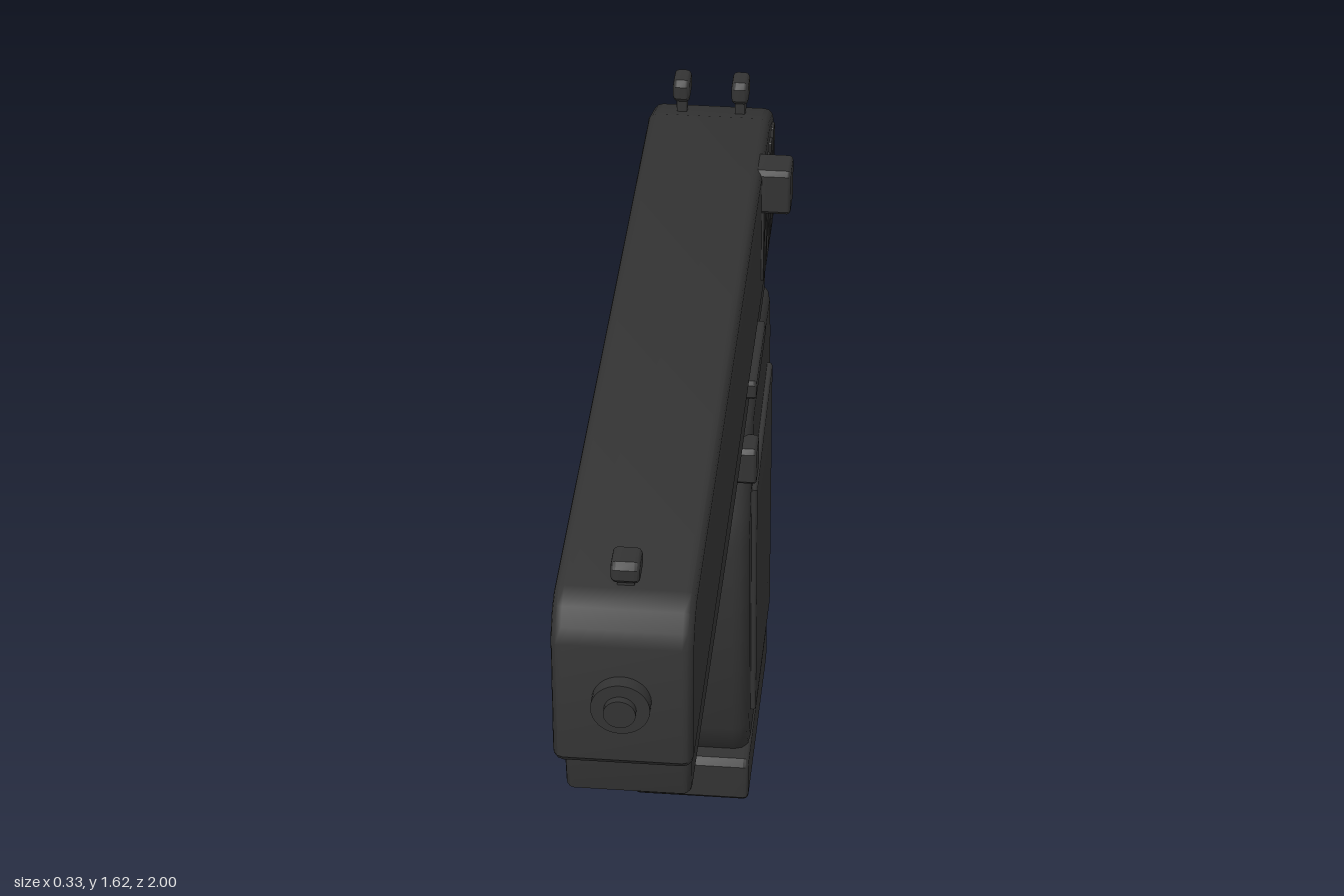
import * as THREE from 'three';
import { toCreasedNormals } from 'three/addons/utils/BufferGeometryUtils.js';

const CX = -0.026; // centre plane of the body

export function createModel() {
  const group = new THREE.Group();
  const gunmetal = new THREE.MeshStandardMaterial({ color: 0x333333 });
  gunmetal.name = 'gunmetal';

  function add(name, geometry) {
    const mesh = new THREE.Mesh(geometry, gunmetal);
    mesh.name = name;
    group.add(mesh);
    return mesh;
  }

  // Side outline in [z, y], extruded between x0 and x1 with rounded edges
  function slab(name, outline, x0, x1, bevel) {
    const shape = new THREE.Shape(outline.map(([z, y]) => new THREE.Vector2(z, y)));
    const geo = new THREE.ExtrudeGeometry(shape, {
      depth: x1 - x0 - 2 * bevel, bevelEnabled: true, bevelThickness: bevel,
      bevelSize: bevel, bevelOffset: -bevel, bevelSegments: 3,
    });
    geo.translate(0, 0, bevel);
    geo.rotateY(-Math.PI / 2);
    geo.translate(x1, 0, 0);
    return add(name, toCreasedNormals(geo, 0.6));
  }

  // Box with small corner cuts, given by its limits
  function block(name, x0, x1, y0, y1, z0, z1, cut = 0.01) {
    const outline = [
      [z0 + cut, y0], [z1 - cut, y0], [z1, y0 + cut], [z1, y1 - cut],
      [z1 - cut, y1], [z0 + cut, y1], [z0, y1 - cut], [z0, y0 + cut],
    ];
    return slab(name, outline, x0, x1, cut * 0.8);
  }

  // Slide with sloped top corners
  slab('slide', [
    [-0.97, 1.205], [0.945, 1.205], [0.957, 1.22], [0.957, 1.48], [0.945, 1.51],
    [0.92, 1.54], [0.88, 1.558], [-0.84, 1.558], [-0.96, 1.515], [-0.978, 1.49], [-0.98, 1.22],
  ], CX - 0.131, CX + 0.131, 0.02);

  // Frame under the slide
  slab('frame', [
    [0.875, 1.215], [0.873, 1.14], [0.86, 1.07], [0.84, 1.057], [0.4, 1.047], [-0.02, 1.037],
    [-0.3, 1.04], [-0.5, 1.05], [-0.93, 1.07], [-0.947, 1.17], [-0.95, 1.215],
  ], CX - 0.119, CX + 0.119, 0.016);

  // Grip and base plate
  slab('grip', [
    [-0.46, 1.045], [-0.5, 1.062], [-0.9, 1.08], [-0.95, 1.078], [-0.975, 1.04], [-0.998, 0.94],
    [-0.996, 0.22], [-0.98, 0.16], [-0.94, 0.105], [-0.49, 0.105], [-0.445, 0.16], [-0.42, 0.22],
    [-0.37, 0.76], [-0.385, 0.83], [-0.45, 1.02],
  ], CX - 0.13, CX + 0.13, 0.035);
  block('basePlate', CX - 0.131, CX + 0.131, 0, 0.117, -0.985, -0.43, 0.015);

  // Grip panels on both sides
  for (const side of [-1, 1]) {
    const inner = CX + side * 0.12, outer = CX + side * 0.142;
    slab(side > 0 ? 'leftGripPanel' : 'rightGripPanel',
      [[-0.452, 0.858], [-0.88, 0.91], [-0.91, 0.225], [-0.495, 0.222]],
      Math.min(inner, outer), Math.max(inner, outer), 0.006);
  }

  // Rear serrations on both sides
  for (const side of [-1, 1]) {
    for (let i = 0; i < 5; i++) {
      const z = -0.645 - i * 0.0635;
      const x = CX + side * 0.132;
      block('serration', x - 0.005, x + 0.005, 1.28, 1.51, z - 0.015, z + 0.015, 0.003);
    }
  }

  // Trigger guard and trigger
  slab('triggerGuard', [
    [0.01, 1.06], [0.02, 0.82], [-0.068, 0.7], [-0.4, 0.7], [-0.4, 0.742],
    [-0.085, 0.742], [-0.026, 0.832], [-0.036, 1.06],
  ], CX - 0.044, CX + 0.044, 0.01);
  slab('trigger', [
    [-0.25, 1.06], [-0.227, 0.92], [-0.243, 0.795], [-0.275, 0.795], [-0.263, 0.92], [-0.315, 1.06],
  ].map(([z, y]) => [y > 1 ? z - 0.005 : z, y]), CX - 0.032, CX + 0.032, 0.008);

  // Controls on the left side
  block('slideLever', 0.07, 0.118, 1.152, 1.197, -0.61, -0.36, 0.008);
  block('magazineButton', 0.07, 0.118, 0.91, 1.0, -0.467, -0.392);
  block('chargingKnob', 0.08, 0.166, 1.45, 1.555, -0.706, -0.62);

  // Sights on short stems
  function sight(name, x, halfWidth, y0, y1, z) {
    block(name, x - halfWidth, x + halfWidth, y0, y1, z - 0.035, z + 0.035, 0.012);
    block(name + 'Stem', x - halfWidth * 0.6, x + halfWidth * 0.6, 1.53, y0 + 0.01, z - 0.02, z + 0.02, 0.003);
  }
  sight('frontSight', CX, 0.027, 1.566, 1.613, 0.85);
  for (const side of [-1, 1]) sight('rearSight', CX + side * 0.063, 0.018, 1.57, 1.622, -0.9);

  // Muzzle collar and bore tip
  for (const [name, radius, z0, z1] of [['muzzleCollar', 0.055, 0.92, 0.985], ['boreTip', 0.03, 0.92, 1.0]]) {
    const geo = new THREE.CylinderGeometry(radius, radius, z1 - z0, 32);
    geo.rotateX(Math.PI / 2);
    add(name, geo).position.set(CX, 1.36, (z0 + z1) / 2);
  }

  return group;
}
